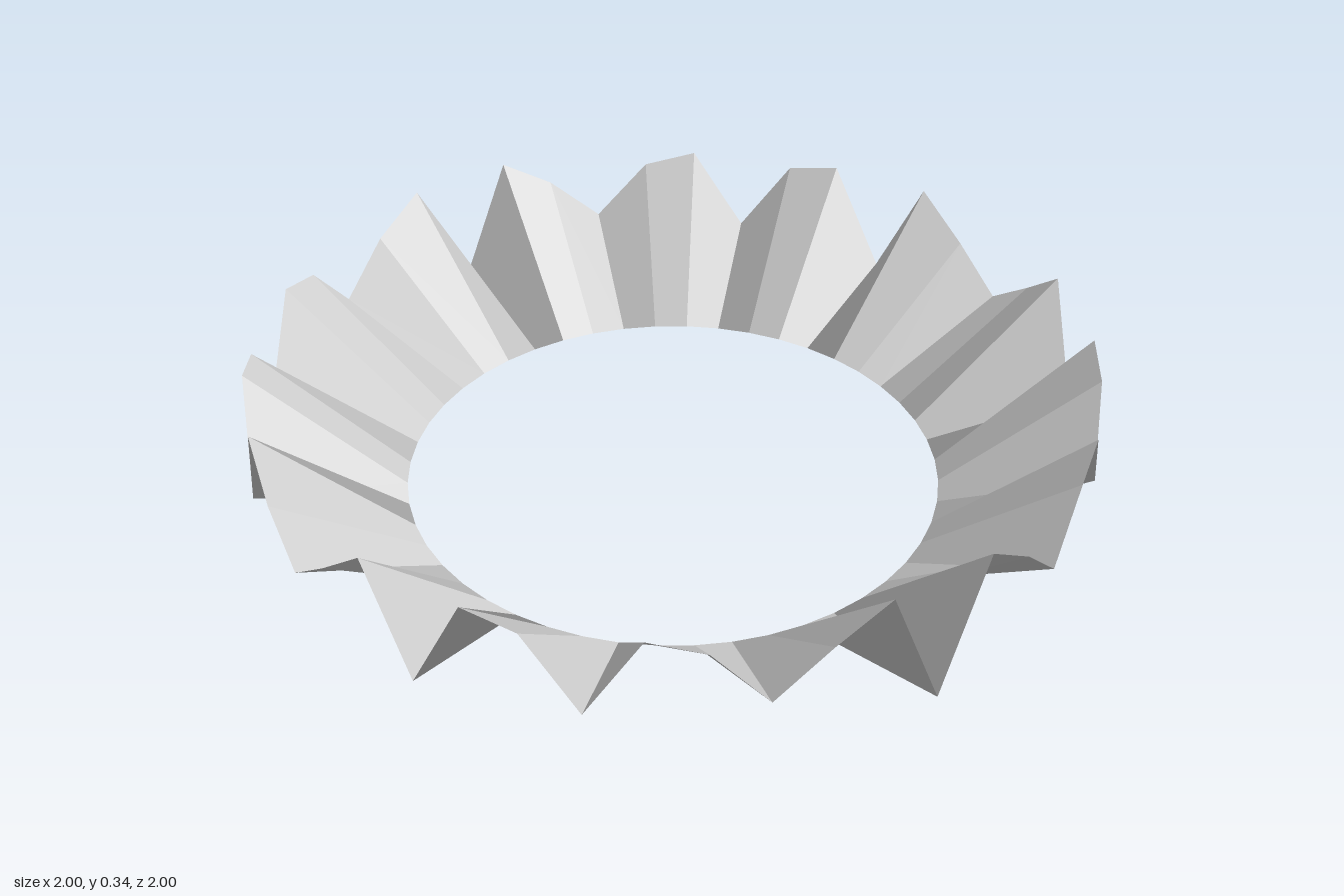
import * as THREE from 'three';

const SEGMENTS = 48;
const INNER = 0.64;
// Rim heights over a quarter turn, from the front round to the side
const HEIGHTS = [0.02, 0.345, 0.262, 0.143, 0.288, 0.322, 0.112, 0.303, 0.331, 0.073, 0.343, 0.24, 0.143];

function rimHeight(i) {
  const m = i % 24;
  return HEIGHTS[m <= 12 ? m : 24 - m];
}

function point(i, radius, y) {
  const a = (i / SEGMENTS) * Math.PI * 2;
  return new THREE.Vector3(Math.sin(a) * radius, y, Math.cos(a) * radius);
}

// One flat-shaded quad per segment, from the level inner edge to the jagged rim
function pleatedRing() {
  const positions = [];
  const normals = [];
  for (let i = 0; i < SEGMENTS; i++) {
    const a = point(i, INNER, 0);
    const b = point(i, 1, rimHeight(i));
    const c = point(i + 1, 1, rimHeight(i + 1));
    const d = point(i + 1, INNER, 0);
    const normal = c.clone().sub(a).cross(d.clone().sub(b)).normalize();
    for (const p of [a, b, c, a, c, d]) {
      positions.push(p.x, p.y, p.z);
      normals.push(normal.x, normal.y, normal.z);
    }
  }
  const geometry = new THREE.BufferGeometry();
  geometry.setAttribute('position', new THREE.Float32BufferAttribute(positions, 3));
  geometry.setAttribute('normal', new THREE.Float32BufferAttribute(normals, 3));
  return geometry;
}

export function createModel() {
  const group = new THREE.Group();
  group.name = 'jaggedRing';
  const material = new THREE.MeshStandardMaterial({ color: 0xcccccc, side: THREE.DoubleSide });
  material.name = 'light grey';
  const ring = new THREE.Mesh(pleatedRing(), material);
  ring.name = 'pleatedRing';
  group.add(ring);
  return group;
}
